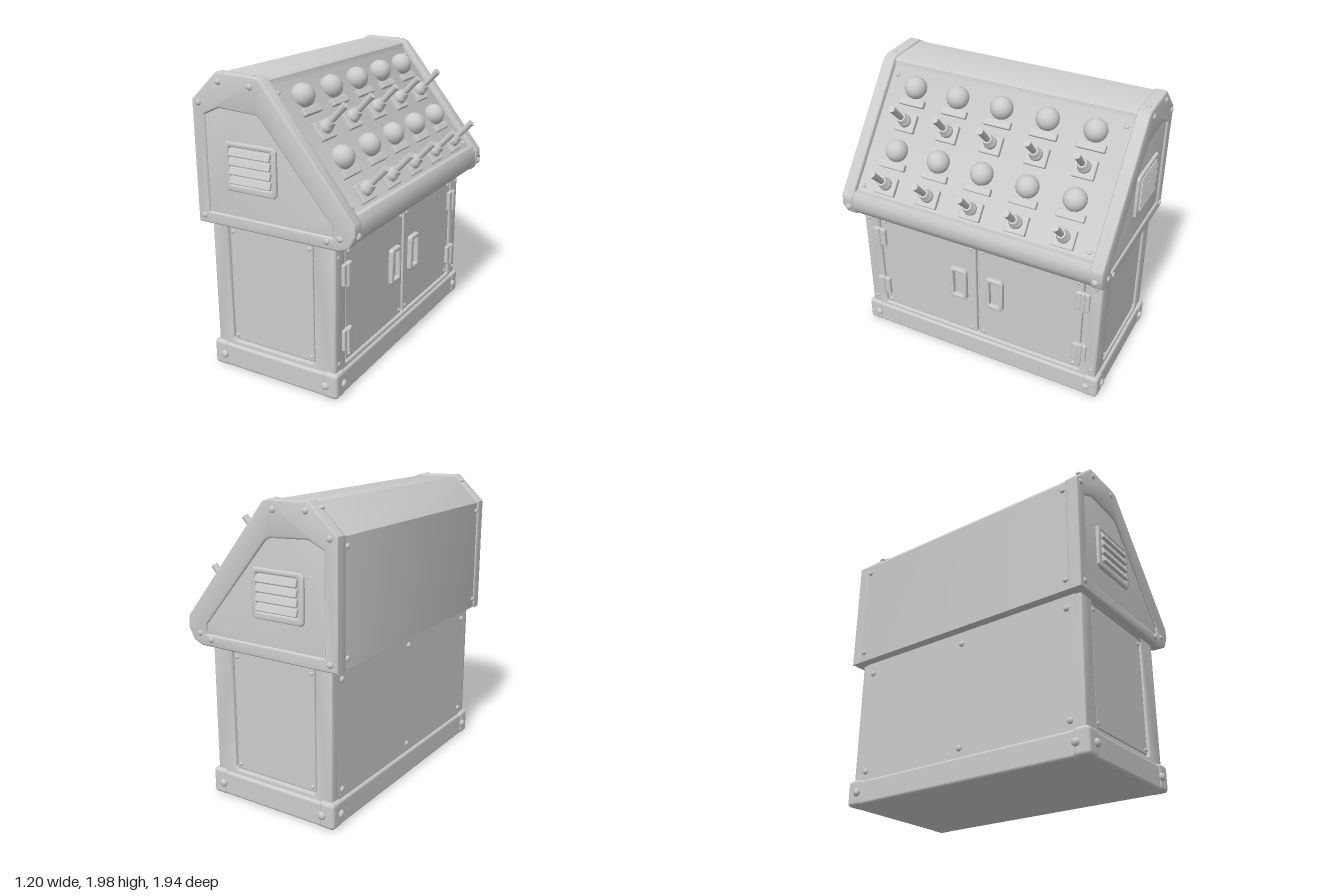
import * as THREE from 'three';
import { toCreasedNormals } from 'three/addons/utils/BufferGeometryUtils.js';
import { RoundedBoxGeometry } from 'three/addons/geometries/RoundedBoxGeometry.js';

const metal = new THREE.MeshStandardMaterial({ color: 0xcccccc });
metal.name = 'plain grey metal';

function add(parent, name, geometry, x = 0, y = 0, z = 0) {
  const mesh = new THREE.Mesh(geometry, metal);
  mesh.name = name;
  mesh.position.set(x, y, z);
  parent.add(mesh);
  return mesh;
}

// Bevelled prism of a closed outline between z0 and z1, with an optional hole
function prism(points, z0, z1, bevel, hole) {
  const shape = new THREE.Shape(points.map(p => new THREE.Vector2(...p)));
  if (hole) shape.holes.push(new THREE.Path(hole.map(p => new THREE.Vector2(...p))));
  const g = new THREE.ExtrudeGeometry(shape, {
    depth: z1 - z0 - 2 * bevel, bevelEnabled: bevel > 0, bevelThickness: bevel,
    bevelSize: bevel, bevelOffset: -bevel, bevelSegments: 3,
  });
  g.translate(0, 0, z0 + bevel);
  return toCreasedNormals(g, 0.65);
}

// Rectangle with clipped corners
function rect(x0, y0, x1, y1, c = 0.015) {
  return [[x0 + c, y0], [x1 - c, y0], [x1, y0 + c], [x1, y1 - c],
    [x1 - c, y1], [x0 + c, y1], [x0, y1 - c], [x0, y0 + c]];
}

const box = (w, h, d, r = 0.012) => new RoundedBoxGeometry(w, h, d, 2, r);
const boltGeo = new THREE.SphereGeometry(1, 10, 8);

// Domed bolt flattened along one axis
function bolt(parent, axis, x, y, z, r = 0.02) {
  const m = add(parent, 'bolt', boltGeo, x, y, z);
  m.scale.set(r, r, r);
  m.scale[axis] = r * 0.7;
}

function buildBase(group) {
  add(group, 'plinth', box(0.94, 0.165, 1.845, 0.02), -0.067, 0.088, 0);
  for (const s of [1, -1]) {
    for (const x of [-0.49, 0.355]) {
      add(group, 'plinthCorner', box(0.11, 0.175, 0.11, 0.025), x, 0.0925, s * 0.875);
      bolt(group, 'z', x - Math.sign(x) * 0.03, 0.09, s * 0.93, 0.027);
      bolt(group, 'x', x + Math.sign(x) * 0.055, 0.09, s * 0.845, 0.027);
    }
  }
}

function buildCabinet(group) {
  add(group, 'cabinetCore', box(0.875, 0.92, 1.76, 0.01), -0.0825, 0.58, 0);
  for (const s of [1, -1]) {
    // End frame around a sunken panel
    const frame = add(group, 'endFrame', prism(rect(-0.52, 0.14, 0.385, 1.04), 0.84, 0.903, 0.012,
      rect(-0.4, 0.2, 0.235, 1.015, 0.02)));
    frame.rotation.y = s > 0 ? 0 : Math.PI;
    if (s < 0) { frame.geometry = prism(rect(-0.385, 0.14, 0.52, 1.04), 0.84, 0.903, 0.012,
      rect(-0.235, 0.2, 0.4, 1.015, 0.02)); }
    add(group, 'endPanel', box(0.615, 0.795, 0.02, 0.008), -0.0825, 0.607, s * 0.882);
    for (const x of [-0.37, 0.205]) for (const y of [0.24, 0.97]) bolt(group, 'z', x, y, s * 0.892, 0.014);

    // Door with hinges and a framed pull
    add(group, 'door', box(0.035, 0.765, 0.765, 0.01), 0.363, 0.588, s * 0.392);
    for (const y of [0.37, 0.81]) {
      add(group, 'hingeLeaf', box(0.03, 0.145, 0.1, 0.01), 0.393, y, s * 0.777);
      add(group, 'hingePin', new THREE.CylinderGeometry(0.018, 0.018, 0.15, 12), 0.404, y, s * 0.783);
    }
    const pull = add(group, 'doorPull', prism(rect(-0.065, -0.128, 0.065, 0.128), 0, 0.04, 0.01,
      rect(-0.036, -0.098, 0.036, 0.098, 0.005)), 0.372, 0.623, s * 0.14);
    pull.rotation.y = Math.PI / 2;
    for (const y of [0.24, 0.94]) for (const z of [0.045, 0.735]) bolt(group, 'x', 0.381, y, s * z, 0.015);
    for (const y of [0.23, 0.94]) {
      bolt(group, 'x', -0.522, y, s * 0.8);
      bolt(group, 'x', 0.385, y, s * 0.865, 0.016);
    }
  }
  for (const y of [0.23, 0.94]) bolt(group, 'x', -0.522, y, 0);
  const front = add(group, 'doorFrame', prism(rect(-0.9, 0.14, 0.9, 1.04), 0.33, 0.388, 0.012,
    rect(-0.782, 0.198, 0.782, 0.98, 0.01)));
  front.rotation.y = Math.PI / 2;
}

function buildHousing(group) {
  // Core with a sunken sloping face
  add(group, 'housingCore', prism([[-0.583, 1.025], [0.45, 1.025], [0.51, 1.06], [0.542, 1.12],
    [0.54, 1.19], [0.516, 1.23], [0.48, 1.227], [-0.072, 1.912], [-0.08, 1.95], [-0.11, 1.968],
    [-0.4, 1.974], [-0.583, 1.797]], -0.9, 0.9, 0.004));
  const outline = [[-0.59, 1.02], [0.44, 1.02], [0.51, 1.05], [0.55, 1.13], [0.545, 1.2],
    [-0.07, 1.962], [-0.11, 1.978], [-0.4, 1.985], [-0.59, 1.805]];
  const inner = [[-0.5, 1.1], [0.4, 1.1], [0.4, 1.16], [-0.09, 1.74], [-0.12, 1.755], [-0.39, 1.77], [-0.5, 1.72]];
  for (const s of [1, -1]) {
    const z0 = s > 0 ? 0.86 : -0.935, z1 = s > 0 ? 0.935 : -0.86;
    add(group, 'endSlab', prism(outline, z0, z1, 0.012));
    add(group, 'endRim', prism(outline, s > 0 ? 0.91 : -0.948, s > 0 ? 0.948 : -0.91, 0.012, inner));
    // Louvred vent
    add(group, 'ventFrame', prism(rect(-0.36, 1.265, 0.02, 1.575, 0.02), s > 0 ? 0.925 : -0.955,
      s > 0 ? 0.955 : -0.925, 0.01, rect(-0.322, 1.31, -0.015, 1.545, 0.01)));
    for (let i = 0; i < 4; i++) {
      const slat = add(group, 'ventSlat', box(0.3, 0.05, 0.022, 0.006), -0.168, 1.34 + i * 0.058, s * 0.953);
      slat.rotation.x = -s * 0.35;
    }
    for (const [x, y] of [[-0.54, 1.07], [0.45, 1.1], [0.36, 1.07], [-0.15, 1.92], [-0.38, 1.93], [-0.54, 1.79]])
      bolt(group, 'z', x, y, s * 0.947);
    for (const y of [1.09, 1.74]) bolt(group, 'x', -0.587, y, s * 0.84, 0.017);
    bolt(group, 'y', -0.44, 1.945, s * 0.88);
    bolt(group, 'y', -0.15, 1.978, s * 0.91, 0.016);
    bolt(group, 'x', 0.546, 1.12, s * 0.9, 0.024);
  }
}

function buildControls(group) {
  // Local x runs down the slope, local y points out of it
  const panel = new THREE.Group();
  panel.name = 'controlPanel';
  panel.position.set(-0.08, 1.97, 0);
  panel.rotation.z = Math.atan2(-0.77, 0.62);
  group.add(panel);
  for (const s of [1, -1]) for (const x of [0.1, 0.89]) bolt(panel, 'y', x, -0.028, s * 0.82, 0.016);

  const knobGeo = new THREE.SphereGeometry(0.077, 16, 12);
  const collarGeo = new THREE.CylinderGeometry(0.058, 0.065, 0.04, 14);
  const plateGeo = box(0.125, 0.035, 0.15, 0.008);
  const labelGeo = box(0.05, 0.04, 0.19, 0.008);
  const ballGeo = new THREE.SphereGeometry(0.045, 12, 10);
  const stemGeo = new THREE.CylinderGeometry(0.023, 0.019, 0.17, 10);
  for (const offset of [0, 0.44]) {
    for (let i = -2; i <= 2; i++) {
      const z = i * 0.322;
      add(panel, 'knob', knobGeo, offset + 0.165, -0.012, z);
      add(panel, 'knobCollar', collarGeo, offset + 0.175, -0.018, z);
      add(panel, 'labelPlate', labelGeo, offset + 0.268, -0.022, z);
      add(panel, 'leverPlate', plateGeo, offset + 0.41, -0.02, z);
      const lever = new THREE.Group();
      lever.name = 'lever';
      lever.position.set(offset + 0.4, 0.005, z);
      lever.rotation.z = 0.15;
      panel.add(lever);
      add(lever, 'leverBall', ballGeo);
      add(lever, 'leverCollar', new THREE.CylinderGeometry(0.03, 0.04, 0.03, 10), 0, 0.045, 0);
      add(lever, 'leverStem', stemGeo, 0, 0.115, 0);
    }
  }
}

export function createModel() {
  const model = new THREE.Group();
  model.name = 'controlConsole';
  for (const [name, build] of [['base', buildBase], ['cabinet', buildCabinet],
    ['housing', buildHousing], ['controls', buildControls]]) {
    const part = new THREE.Group();
    part.name = name;
    build(part);
    model.add(part);
  }
  return model;
}
